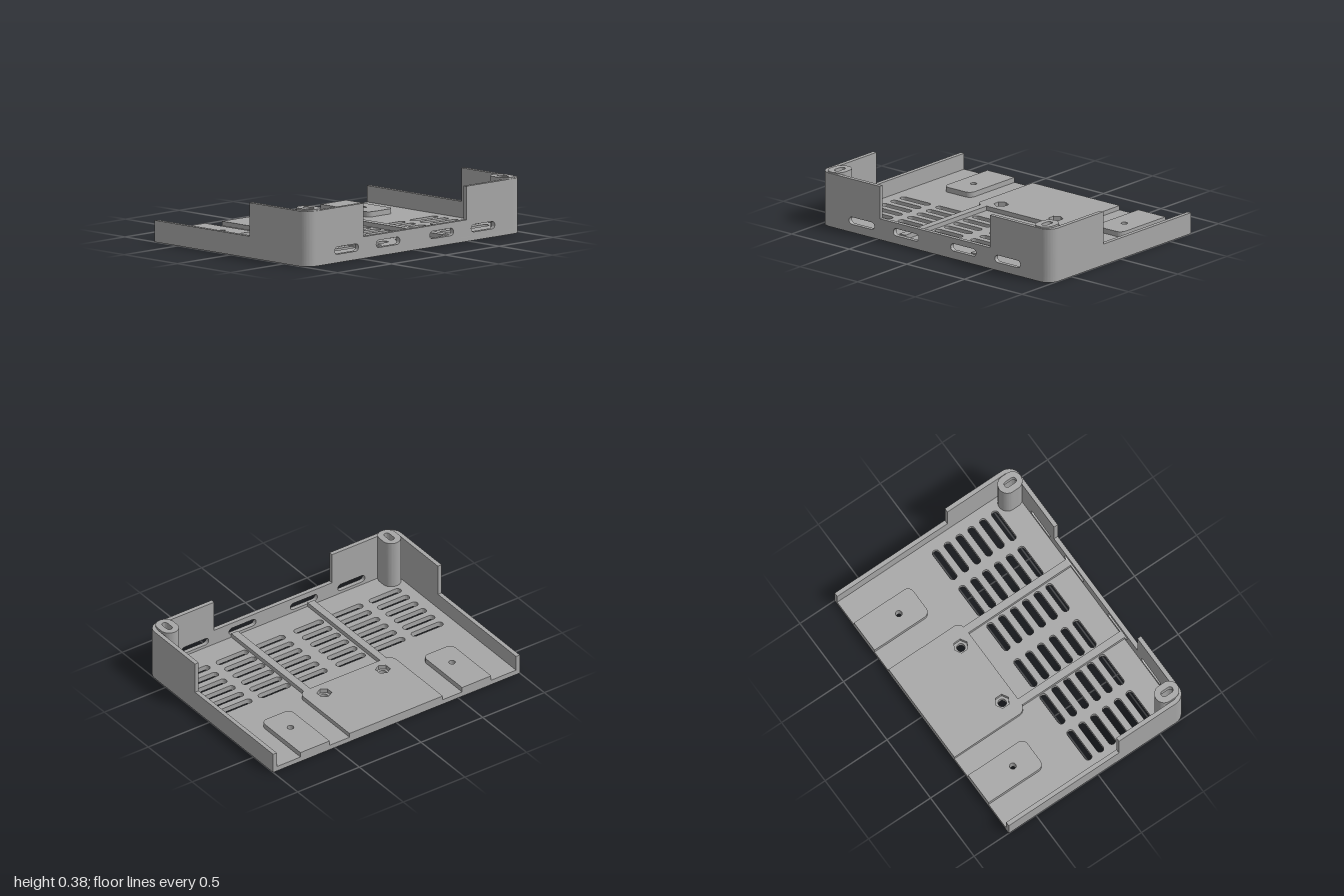
import * as THREE from 'three';
import { toCreasedNormals } from 'three/addons/utils/BufferGeometryUtils.js';

const FLOOR = 0.035, LOW = 0.145, HIGH = 0.37, TOP = 0.38;
const X0 = -0.72, X1 = 0.715, Z1 = 1, WALL = 0.03, R = 0.085;
const H = Math.PI / 2;

// Rectangle with separate corner radii on its low-u and high-u ends
function rect(u0, u1, v0, v1, rLow = 0, rHigh = rLow, Type = THREE.Shape) {
  const s = new Type();
  const corner = (u, v, r, a) => (r ? s.absarc(u, v, r, a, a + H, false) : s.lineTo(u, v));
  s.moveTo(u0 + rLow, v0);
  corner(u1 - rHigh, v0 + rHigh, rHigh, -H);
  corner(u1 - rHigh, v1 - rHigh, rHigh, 0);
  corner(u0 + rLow, v1 - rLow, rLow, H);
  corner(u0 + rLow, v0 + rLow, rLow, 2 * H);
  s.closePath();
  return s;
}

// Slot with round ends, given by its centre and half sizes
const slot = (u, v, hu, hv, Type = THREE.Path) =>
  rect(u - hu, u + hu, v - hv, v + hv, Math.min(hu, hv) * 0.999, undefined, Type);

const circle = (u, v, r) => new THREE.Path().absarc(u, v, r, 0, Math.PI * 2, true);

const hexagon = (u, v, r) => new THREE.Path().setFromPoints(
  Array.from({ length: 6 }, (_, i) => new THREE.Vector2(u + r * Math.cos(i * Math.PI / 3), v + r * Math.sin(i * Math.PI / 3))));

const polygon = (pts) => new THREE.Shape(pts.map(([u, v]) => new THREE.Vector2(u, v)));

const extrude = (shape, depth) =>
  new THREE.ExtrudeGeometry(shape, { depth, bevelEnabled: false, curveSegments: 10 });

// Shape drawn in (x, z), raised from y0 to y1
const slab = (shape, y0, y1) => extrude(shape, y1 - y0).rotateX(H).translate(0, y1, 0);

export function createModel() {
  const model = new THREE.Group();
  model.name = 'enclosureTray';
  const grey = new THREE.MeshStandardMaterial({ color: 0xa6a6a6 });
  grey.name = 'grey plastic';
  const add = (name, geometry) => {
    const mesh = new THREE.Mesh(toCreasedNormals(geometry, 0.6), grey);
    mesh.name = name;
    model.add(mesh);
  };

  const padHoles = [[-0.44, -0.66], [-0.44, 0.65]];
  const nutHoles = [[-0.235, -0.24], [-0.235, 0.235]];
  const bossX = 0.626, bossZ = 0.9;

  // Floor with vent slots and screw holes
  const floor = rect(X0, X1, -Z1, Z1, 0, R);
  const ventRows = [[-0.9, -0.655], [-0.595, -0.345], [-0.275, -0.045], [0.035, 0.265], [0.335, 0.585], [0.645, 0.895]];
  for (const [a, b] of ventRows) {
    for (let i = 0; i < 6; i++) {
      floor.holes.push(slot(0.012 + i * 0.0955, (a + b) / 2, 0.025, (b - a) / 2));
    }
  }
  for (const [x, z] of padHoles) floor.holes.push(circle(x, z, 0.022));
  for (const [x, z] of nutHoles) floor.holes.push(circle(x, z, 0.028));
  for (const s of [-1, 1]) floor.holes.push(slot(bossX, s * bossZ, 0.065, 0.045));
  add('floor', slab(floor, 0, FLOOR));

  // Raised pads: two small ones and a wide one with nut pockets
  for (const [x, z] of padHoles) {
    const pad = rect(X0, -0.27, z - 0.118, z + 0.118, 0, 0.045);
    pad.holes.push(circle(x, z, 0.022));
    add('sidePad', slab(pad, FLOOR, 0.07));
  }
  const centre = rect(X0, -0.14, -0.38, 0.375, 0, 0.055);
  for (const [x, z] of nutHoles) centre.holes.push(hexagon(x, z, 0.05));
  add('centrePad', slab(centre, FLOOR, 0.065));

  // Ribs running from the wide pad to the end wall
  for (const [a, b] of [[-0.34, -0.287], [0.28, 0.332]]) {
    add('rib', slab(rect(-0.14, X1 - WALL, a, b), FLOOR, 0.065));
  }

  // Stepped side walls
  const side = polygon([[X0, FLOOR], [X1 - R, FLOOR], [X1 - R, HIGH], [0.17, HIGH], [0.17, LOW], [X0, LOW]]);
  add('leftSideWall', extrude(side, WALL).translate(0, 0, Z1 - WALL));
  add('rightSideWall', extrude(side, WALL).translate(0, 0, -Z1));

  // End wall with a wide notch and cable slots
  const e = Z1 - R, n = 0.478;
  const end = polygon([[-e, FLOOR], [e, FLOOR], [e, HIGH], [n, HIGH], [n, LOW], [-n, LOW], [-n, HIGH], [-e, HIGH]]);
  for (const z of [-0.632, -0.248, 0.25, 0.635]) end.holes.push(slot(z, 0.081, 0.11, 0.025));
  add('endWall', extrude(end, WALL).rotateY(-H).translate(X1, 0, 0));

  for (const s of [-1, 1]) {
    // Rounded corner joining the walls
    const corner = new THREE.Shape();
    corner.absarc(X1 - R, s * e, R, 0, s * H, s < 0);
    corner.absarc(X1 - R, s * e, R - WALL, s * H, 0, s > 0);
    corner.closePath();
    add('wallCorner', slab(corner, FLOOR, HIGH));

    // Screw boss, counterbored from below, with a slotted cap
    const boss = (hu, hv, y0, y1, name) => {
      const shape = slot(bossX, s * bossZ, 0.086, 0.065, THREE.Shape);
      shape.holes.push(slot(bossX + 0.002, s * bossZ, hu, hv));
      add(name, slab(shape, y0, y1));
    };
    boss(0.065, 0.045, FLOOR, 0.33, 'screwBoss');
    boss(0.045, 0.021, 0.33, TOP, 'screwBossCap');
  }
  return model;
}
